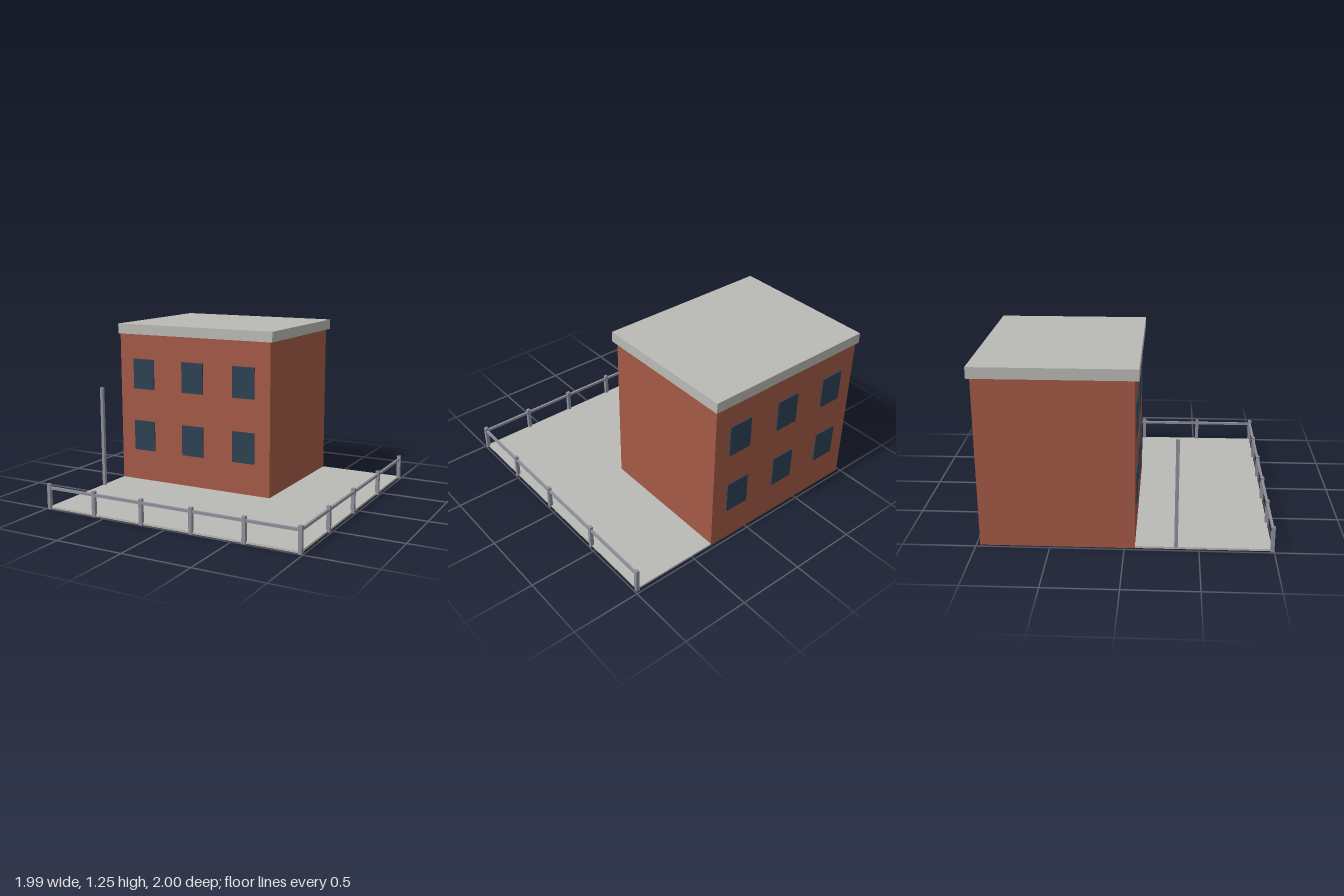
import * as THREE from 'three';

const flat = (name, color) => {
  const m = new THREE.MeshStandardMaterial({ color });
  m.name = name;
  return m;
};

export function createModel() {
  const brick = flat('brick red', 0xa45a47);
  const concrete = flat('concrete grey', 0xbabab5);
  const glass = flat('dark window blue', 0x2d4154);
  const metal = flat('fence grey', 0x90909b);

  const model = new THREE.Group();
  model.name = 'building with yard';

  // Box given by its minimum and maximum corners
  const box = (name, mat, [x0, y0, z0], [x1, y1, z1], parent = model) => {
    const mesh = new THREE.Mesh(new THREE.BoxGeometry(x1 - x0, y1 - y0, z1 - z0), mat);
    mesh.position.set((x0 + x1) / 2, (y0 + y1) / 2, (z0 + z1) / 2);
    mesh.name = name;
    parent.add(mesh);
    return mesh;
  };

  const edge = 0.98, front = 0.987, back = -0.974;
  const wallRight = 0.325, wallFront = 0.072;

  // L-shaped yard slab wrapping around the building's footprint
  const outline = new THREE.Shape([
    [-edge, -front], [edge, -front], [edge, -back],
    [wallRight, -back], [wallRight, -wallFront], [-edge, -wallFront],
  ].map(([x, y]) => new THREE.Vector2(x, y)));
  const slabGeo = new THREE.ExtrudeGeometry(outline, { depth: 0.015, bevelEnabled: false });
  slabGeo.rotateX(-Math.PI / 2);
  const slab = new THREE.Mesh(slabGeo, concrete);
  slab.position.y = 0.001;
  slab.name = 'yardSlab';
  model.add(slab);

  // Walls and overhanging flat roof
  box('walls', brick, [-edge, 0, back], [wallRight, 1.178, wallFront]);
  box('roof', concrete, [-edge - 0.002, 1.178, -1], [0.35, 1.255, 0.098]);

  // Two storeys of three windows, front and back
  const windows = new THREE.Group();
  windows.name = 'windows';
  model.add(windows);
  for (const x of [-0.765, -0.329, 0.107]) {
    for (const y of [0.377, 0.867]) {
      for (const z of [wallFront + 0.0045, back - 0.0045]) {
        box('window', glass, [x - 0.092, y - 0.118, z - 0.0049], [x + 0.092, y + 0.118, z + 0.0049], windows);
      }
    }
  }

  // Fence along the front and the left side
  const fence = new THREE.Group();
  fence.name = 'fence';
  model.add(fence);
  const h = 0.013, r = 0.0085;
  const post = (x, z) => box('fencePost', metal, [x - h, 0, z - h], [x + h, 0.184, z + h], fence);
  for (let i = 0; i <= 5; i++) post(-edge + (i * 2 * edge) / 5, front);
  for (const z of [0.529, wallFront, -0.451, back]) post(edge, z);
  box('frontRail', metal, [-edge, 0.146, front - r], [edge, 0.165, front + r], fence);
  box('sideRail', metal, [edge - r, 0.146, back], [edge + r, 0.165, front], fence);

  // Tall square pole at the yard's edge
  box('pole', metal, [-0.981, 0.012, 0.335], [-0.957, 0.787, 0.359]);

  return model;
}
